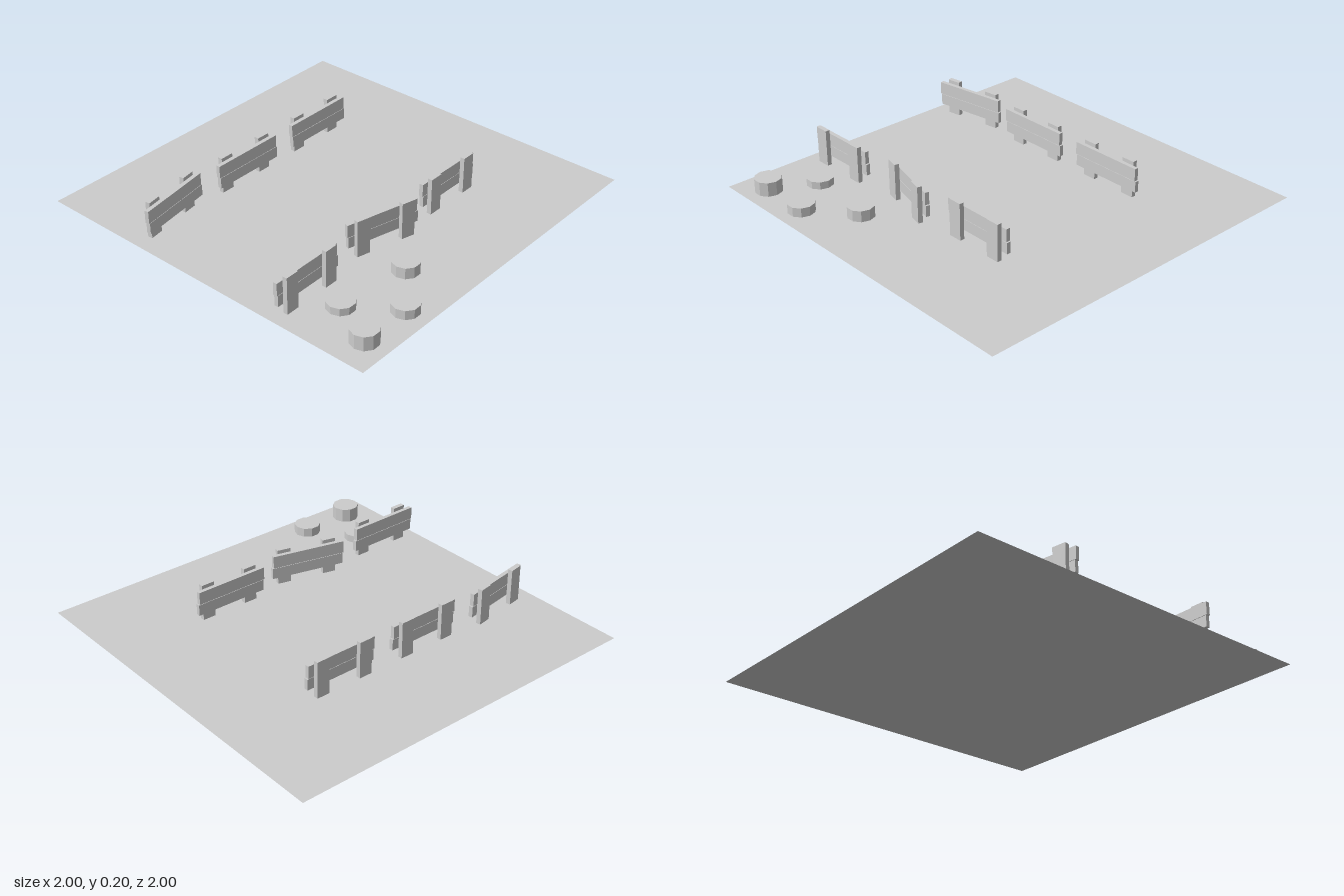
import * as THREE from 'three';

export function createModel() {
  const model = new THREE.Group();
  const grey = new THREE.MeshStandardMaterial({ color: 0xcccccc });
  grey.name = 'plain grey';
  const greySheet = new THREE.MeshStandardMaterial({ color: 0xcccccc, side: THREE.DoubleSide });
  greySheet.name = 'ground grey';

  const add = (parent, name, geometry, x, y, z, material = grey) => {
    const mesh = new THREE.Mesh(geometry, material);
    mesh.name = name;
    mesh.position.set(x, y, z);
    parent.add(mesh);
    return mesh;
  };

  // Flat square of ground
  add(model, 'ground', new THREE.PlaneGeometry(2, 2).rotateX(-Math.PI / 2), 0, 0, 0, greySheet);

  // Fence section: two planks along z, two posts on the outer side
  const postShape = new THREE.BoxGeometry(0.025, 0.2, 0.074);
  const upperShape = new THREE.BoxGeometry(0.022, 0.068, 0.408);
  const lowerShape = new THREE.BoxGeometry(0.022, 0.06, 0.408);
  const addFence = (x, z, turn) => {
    const side = Math.sign(x);
    const fence = new THREE.Group();
    fence.name = side > 0 ? 'leftFence' : 'rightFence';
    fence.position.set(x, 0, z);
    fence.rotation.y = turn;
    add(fence, 'upperPlank', upperShape, 0, 0.146, 0.003);
    add(fence, 'lowerPlank', lowerShape, 0, 0.08, -0.003);
    for (const end of [-1, 1]) add(fence, 'post', postShape, side * 0.0235, 0.1, end * 0.131);
    model.add(fence);
  };
  [
    [-0.417, -0.3, 0], [-0.417, 0.232, 0], [-0.417, 0.74, 0.155],
    [0.448, -0.298, 0], [0.451, 0.211, -0.25], [0.455, 0.75, 0.01],
  ].forEach(f => addFence(...f));

  // Ten-sided stumps of different heights
  [
    [0.68, 0.312, 0.06], [0.868, 0.548, 0.05], [0.632, 0.717, 0.04], [0.868, 0.832, 0.076],
  ].forEach(([x, z, h]) => {
    const geometry = new THREE.CylinderGeometry(0.072, 0.072, h, 10).toNonIndexed();
    geometry.computeVertexNormals();
    add(model, 'stump', geometry, x, h / 2, z);
  });

  return model;
}
